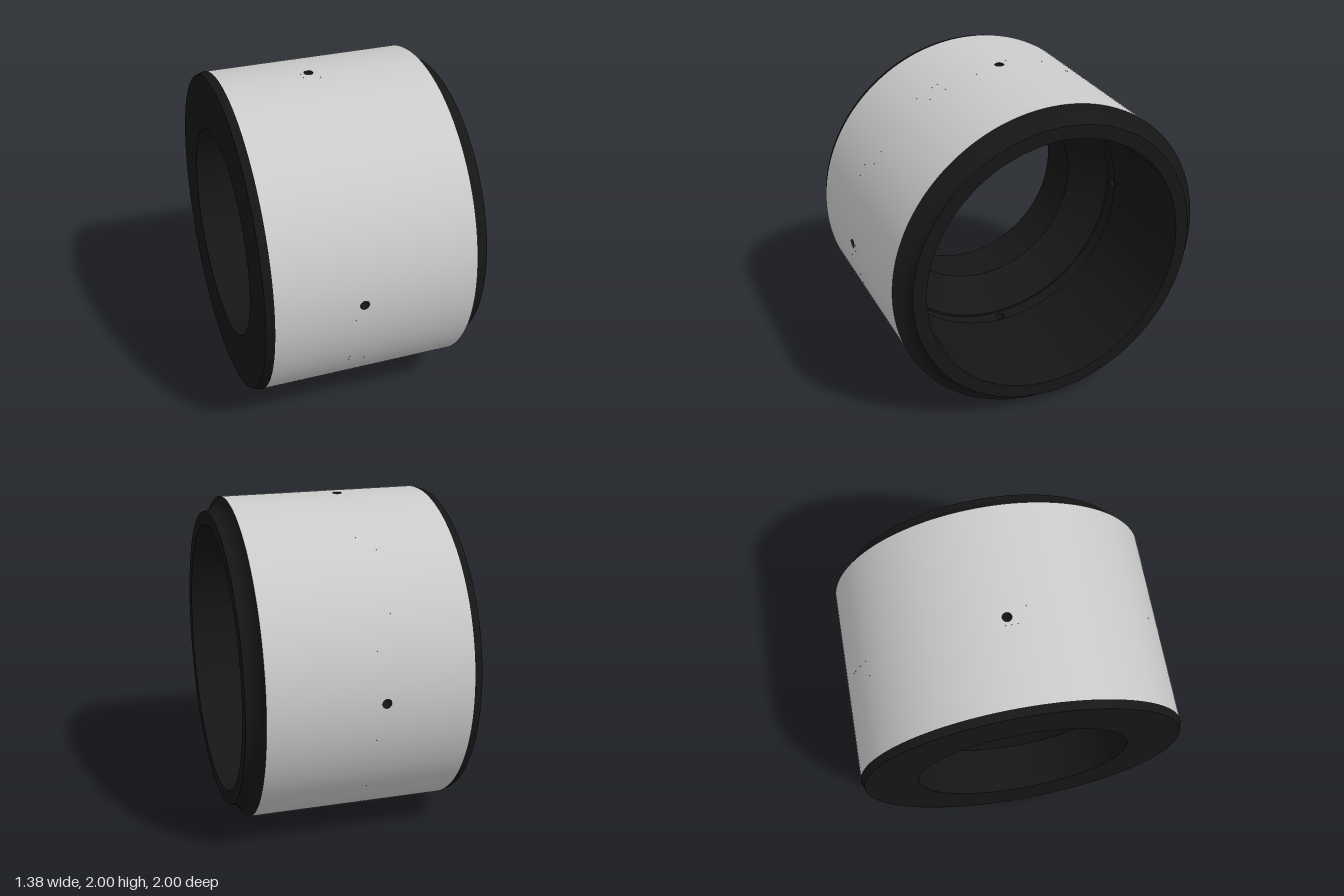
import * as THREE from 'three';

const HOLE_X = -0.11, HOLE_R = 0.028, HALF = 0.05; // radial holes and the band they sit in
const OUTER = 1, GROOVE = 0.842, BORE = 0.83, THROAT = 0.655;

export function createModel() {
  const model = new THREE.Group();
  const grey = new THREE.MeshStandardMaterial({ color: 0xcccccc });
  const dark = new THREE.MeshStandardMaterial({ color: 0x161616 });
  const darkOpen = new THREE.MeshStandardMaterial({ color: 0x161616, side: THREE.DoubleSide });

  const add = (parent, name, geometry, material) => {
    const mesh = new THREE.Mesh(geometry, material);
    mesh.name = name;
    parent.add(mesh);
    return mesh;
  };

  // Surface turned about the x axis from [x, radius] points; ascending x faces outward
  const turn = (points, start = 0, length = Math.PI * 2, segments = 160) =>
    new THREE.LatheGeometry(points.map(([x, r]) => new THREE.Vector2(r, x)), segments, start, length)
      .rotateZ(-Math.PI / 2);

  // Curved square patch with a round hole
  const holePatch = (radius, phi0, outward) => {
    const n = 32, pos = [], nor = [], idx = [], sign = outward ? 1 : -1;
    for (let i = 0; i <= n; i++) {
      const t = (i / n) * Math.PI * 2, c = Math.cos(t), s = Math.sin(t);
      const k = HALF / Math.max(Math.abs(c), Math.abs(s));
      for (const [dx, a] of [[HOLE_R * c, Math.asin(HOLE_R * s / radius)], [k * c, k * s]]) {
        const y = -Math.sin(phi0 + a), z = Math.cos(phi0 + a);
        pos.push(HOLE_X + dx, radius * y, radius * z);
        nor.push(0, sign * y, sign * z);
      }
      if (i < n) {
        const a = i * 2, b = a + 1, d = a + 2, e = a + 3;
        if (outward) idx.push(a, e, b, a, d, e);
        else idx.push(a, b, e, a, e, d);
      }
    }
    const g = new THREE.BufferGeometry();
    g.setAttribute('position', new THREE.Float32BufferAttribute(pos, 3));
    g.setAttribute('normal', new THREE.Float32BufferAttribute(nor, 3));
    g.setIndex(idx);
    return g;
  };

  const x0 = HOLE_X - HALF, x1 = HOLE_X + HALF;

  // Outer sleeve on both sides of the hole band
  const sleeve = new THREE.Group();
  sleeve.name = 'outerSleeve';
  model.add(sleeve);
  add(sleeve, 'sleeveLongSide', turn([[x1, OUTER], [0.585, OUTER]]), grey);
  add(sleeve, 'sleeveShortSide', turn([[-0.64, OUTER], [x0, OUTER]]), grey);

  // Dark end surfaces
  add(model, 'chamfer', turn([[-0.69, 0.985], [-0.64, OUTER]]), dark);
  add(model, 'closedEndFace', turn([[-0.69, THROAT], [-0.69, 0.985]]), dark);
  const fillet = [[0.585, OUTER], [0.597, 0.971], [0.613, 0.948], [0.632, 0.931], [0.652, 0.919], [0.685, 0.914]];
  add(model, 'concaveShoulder', turn(fillet), dark);
  add(model, 'openEndRim', turn([[0.685, 0.914], [0.685, BORE]]), dark);

  // Bore, oil groove walls, taper and narrow throat
  const inside = [
    ['mainBore', [0.685, BORE], [x1, BORE]],
    ['grooveWall', [x1, BORE], [x1, GROOVE]],
    ['grooveWall', [x0, GROOVE], [x0, BORE]],
    ['taper', [x0, BORE], [-0.39, THROAT]],
    ['throat', [-0.39, THROAT], [-0.69, THROAT]],
  ];
  for (const [name, a, b] of inside) add(model, name, turn([a, b]), dark);

  // Hole band: four drilled patches with plain arcs between them
  for (let i = 0; i < 4; i++) {
    const phi = i * Math.PI / 2, station = new THREE.Group();
    station.name = 'drilledQuarter';
    model.add(station);
    const start = phi + HALF, length = Math.PI / 2 - 2 * HALF;
    add(station, 'outerBandArc', turn([[x0, OUTER], [x1, OUTER]], start, length, 40), grey);
    add(station, 'grooveArc', turn([[x1, GROOVE], [x0, GROOVE]], start, length, 40), dark);
    add(station, 'outerHolePatch', holePatch(OUTER, phi, true), grey);
    add(station, 'innerHolePatch', holePatch(GROOVE, phi, false), dark);
    const depth = OUTER - GROOVE - 0.0005;
    const tube = new THREE.CylinderGeometry(HOLE_R, HOLE_R, depth, 32, 1, true)
      .rotateX(Math.PI / 2).translate(HOLE_X, 0, GROOVE + depth / 2).rotateX(phi);
    add(station, 'holeWall', tube, darkOpen);
  }

  model.position.y = 1;
  return model;
}
